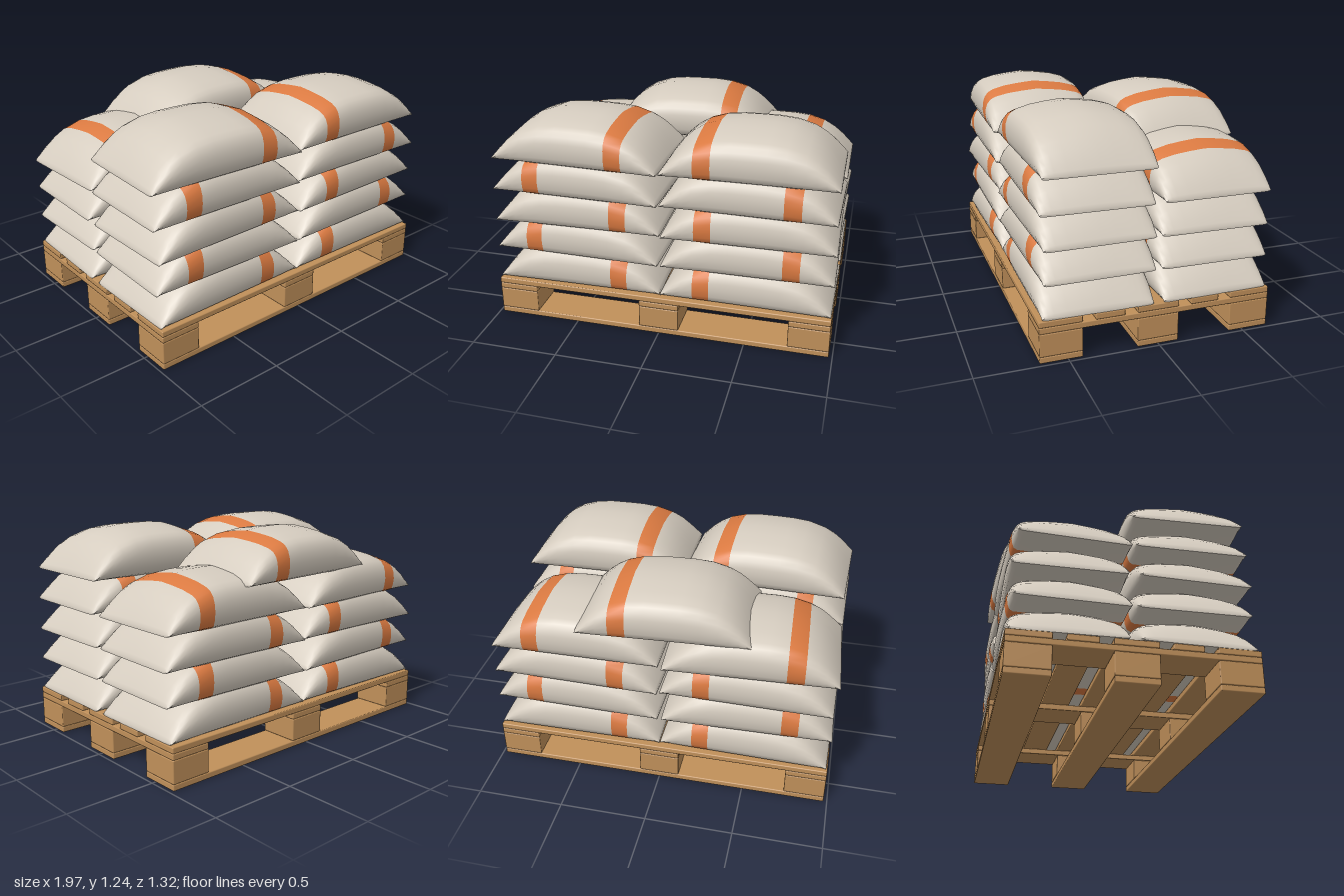
import * as THREE from 'three';
import { toCreasedNormals } from 'three/addons/utils/BufferGeometryUtils.js';
import { RoundedBoxGeometry } from 'three/addons/geometries/RoundedBoxGeometry.js';

function material(name, color) {
  const m = new THREE.MeshStandardMaterial({ color });
  m.name = name;
  return m;
}

// A filled sack: one cross-section lofted along x, domed on top, with a band near one end
function sackGeometry() {
  const halfLength = 0.485;
  const stations = [-0.485, -0.475, -0.45, -0.41, -0.36, -0.3, -0.2, -0.1, 0,
    0.1, 0.2, 0.295, 0.36, 0.41, 0.45, 0.475, 0.485];
  const bandStation = stations.indexOf(0.2);
  // half section [z, y], from bottom centre to top centre
  const half = [[0, 0], [0.285, 0], [0.304, 0.012], [0.314, 0.045], [0.319, 0.09], [0.315, 0.135],
    [0.303, 0.172], [0.282, 0.2], [0.25, 0.218], [0.178, 0.238], [0.09, 0.251], [0, 0.26]];
  const ring = [...half, ...half.slice(1, -1).reverse().map(([z, y]) => [-z, y])];
  const n = ring.length;
  const positions = [];
  for (const x of stations) {
    const u = Math.abs(x) / halfLength;
    const height = 0.08 + 0.92 * (1 - u ** 3.3);
    const width = 1 - 0.05 * u ** 4;
    for (const [z, y] of ring) positions.push(x, y * height, z * width);
  }
  const geometry = new THREE.BufferGeometry();
  const index = [];
  for (let i = 0; i < stations.length - 1; i++) {
    const start = index.length;
    for (let j = 0; j < n; j++) {
      const k = (j + 1) % n;
      const a = i * n + j, b = (i + 1) * n + j, c = (i + 1) * n + k, d = i * n + k;
      index.push(a, b, c, a, c, d);
    }
    geometry.addGroup(start, index.length - start, i === bandStation ? 1 : 0);
  }
  // end caps
  const capStart = index.length, last = (stations.length - 1) * n;
  for (let j = 1; j < n - 1; j++) {
    index.push(0, j, j + 1, last, last + j + 1, last + j);
  }
  geometry.addGroup(capStart, index.length - capStart, 0);
  geometry.setAttribute('position', new THREE.Float32BufferAttribute(positions, 3));
  geometry.setIndex(index);
  return toCreasedNormals(geometry, 0.85);
}

function createPallet(wood) {
  const pallet = new THREE.Group();
  pallet.name = 'pallet';
  const add = (name, w, h, d, x, y, z) => {
    const mesh = new THREE.Mesh(new RoundedBoxGeometry(w, h, d, 1, 0.006), wood);
    mesh.name = name;
    mesh.position.set(x, y, z);
    pallet.add(mesh);
  };
  for (const z of [-0.538, 0, 0.538]) {
    add('bottomBoard', 1.96, 0.035, 0.234, 0, 0.0175, z);
    add('topBoard', 1.96, 0.035, 0.234, 0, 0.2175, z);
    for (const x of [-0.863, 0, 0.863]) add('block', 0.234, 0.13, 0.234, x, 0.1, z);
  }
  for (const z of [-0.269, 0.269]) add('narrowTopBoard', 1.96, 0.035, 0.162, 0, 0.2175, z);
  for (const x of [-0.863, 0, 0.863]) add('crossBoard', 0.234, 0.035, 1.31, x, 0.1825, 0);
  return pallet;
}

export function createModel() {
  const wood = material('wood', 0xc0905a);
  const sackMaterials = [material('sackPaper', 0xd5ccbf), material('orangeBand', 0xdb7a41)];
  const geometry = sackGeometry();
  const model = new THREE.Group();
  model.add(createPallet(wood));

  const sacks = new THREE.Group();
  sacks.name = 'sacks';
  model.add(sacks);
  const baseY = [0.236, 0.424, 0.606, 0.79, 0.975];
  const addSack = (layer, x, z, turn, bandTowardPlusX) => {
    const sack = new THREE.Mesh(geometry, sackMaterials);
    sack.name = 'sack';
    sack.position.set(x, baseY[layer], z);
    sack.rotation.y = turn + (bandTowardPlusX ? 0 : Math.PI);
    sacks.add(sack);
  };

  // four sacks per layer, bands alternating between the inner and outer ends
  const turns = [
    [0.015, -0.01, -0.02, 0.01],
    [-0.015, 0.01, 0.02, -0.015],
    [0.02, 0.015, -0.015, -0.02],
    [-0.02, -0.015, 0.04, 0.005],
  ];
  turns.forEach((row, layer) => {
    row.forEach((turn, k) => {
      const side = k % 2 ? 1 : -1;
      const z = k < 2 ? 0.327 : -0.327;
      const outer = layer % 2 === 1;
      addSack(layer, side * 0.492, z, turn, (side > 0) === outer);
    });
  });
  // top layer: two in front, one centred at the back
  addSack(4, -0.485, 0.325, -0.04, true);
  addSack(4, 0.485, 0.32, 0.005, false);
  addSack(4, -0.01, -0.335, 0.05, true);
  return model;
}
